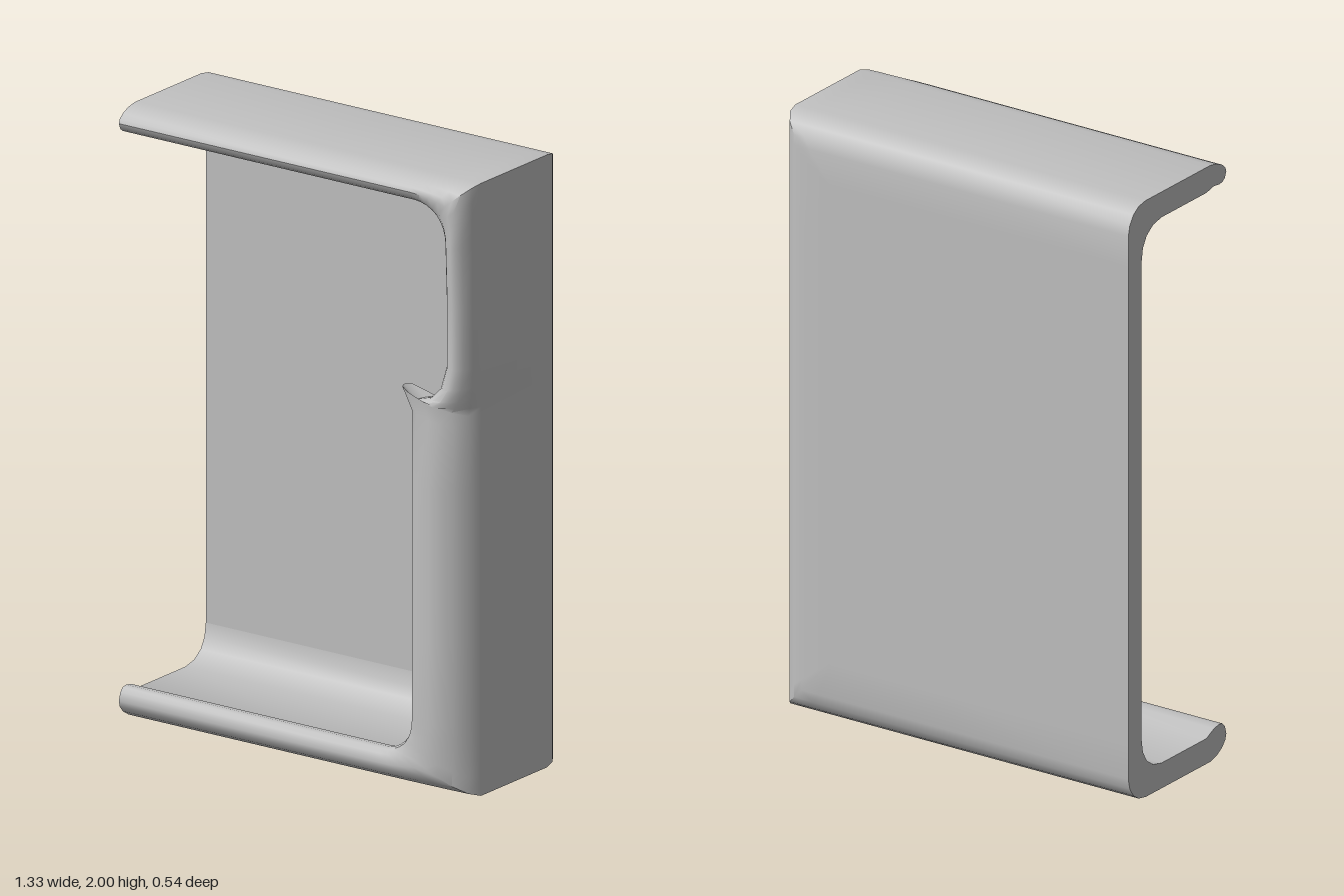
import * as THREE from 'three';
import { toCreasedNormals } from 'three/addons/utils/BufferGeometryUtils.js';

const R = 0.665, H = 2, LEFT = -0.665, BACK = -0.268, INNER = -0.197;

// Rim cross-section. w: fixed inset from the outer face, f: fraction of the way to the lip edge.
const section = [
  { w: 0.2, z: BACK }, { w: 0.09, z: BACK }, { w: 0.055, z: -0.26 }, { w: 0.026, z: -0.241 },
  { w: 0.007, z: -0.212 }, { w: 0, z: -0.175 }, { w: 0, z: 0.17 },
  { f: 0.08, z: 0.205 }, { f: 0.25, z: 0.235 }, { f: 0.43, z: 0.251 }, { f: 0.6, z: 0.256 },
  { f: 0.85, z: 0.248 }, { f: 0.97, z: 0.235 }, { f: 1, z: 0.218 }, { f: 0.95, z: 0.19 },
  { w: 0.085, z: 0.15 }, { w: 0.085, z: -0.09 }, { w: 0.095, z: -0.135 },
  { w: 0.12, z: -0.17 }, { w: 0.155, z: -0.19 }, { w: 0.2, z: INNER },
];

// Stations along the rim: outer point, inward direction, lip edge point, forward bulge.
function makeStations() {
  const list = [];
  const add = (out, dir, lip, bulge) => list.push({ out, dir, lip, bulge });

  // Bottom run and rounded lower corner
  add([LEFT, 0], [0, 1], [LEFT, 0.11], 0);
  add([0, 0], [0, 1], [0, 0.11], 0);
  corner(0.33, 0.23, 0.12, false);

  // Side: wide lip below, notch, narrow lip above
  const side = [
    [0.5, 0.45, 0.5, 0.013], [1.0, 0.45, 1.0, 0.013], [1.2, 0.45, 1.24, 0.012],
    [1.24, 0.41, 1.31, 0.01], [1.27, 0.46, 1.27, 0.008], [1.3, 0.515, 1.285, 0.004],
    [1.34, 0.555, 1.325, 0], [1.4, 0.575, 1.4, -0.005], [1.6, 0.575, 1.6, -0.006],
  ];
  for (const [y, lx, ly, b] of side) add([R, y], [-1, 0], [lx, ly], b);

  // Rounded upper corner and top run
  corner(0.455, 1.8, 0.12, true);
  add([0, H], [0, -1], [0, 1.92], 0);
  add([LEFT, H], [0, -1], [LEFT, 1.92], 0);

  function corner(cx, cy, r, upper) {
    const n = 8, edge = upper ? H : 0, sy = upper ? -1 : 1;
    for (let i = 0; i <= n; i++) {
      const k = upper ? n - i : i;
      const a = (k / n) * Math.PI / 2;
      const lip = [cx + r * Math.sin(a), cy - sy * r * Math.cos(a)];
      const s = Math.min(1, 2 * k / n), t = Math.min(1, 2 - 2 * k / n);
      const out = [cx + (R - cx) * s, edge + (cy - edge) * (1 - t)];
      add(out, [-s, sy * t], lip, (upper ? 0.002 : 0.013) * k / n);
    }
  }
  return list;
}

function place(st, p) {
  if (p.f === undefined) {
    return [st.out[0] + st.dir[0] * p.w, st.out[1] + st.dir[1] * p.w, p.z];
  }
  const mix = (i) => st.out[i] + (st.lip[i] - st.out[i]) * p.f;
  return [mix(0), mix(1), p.z + st.bulge * Math.min(1, p.f * 2)];
}

function rimGeometry(stations) {
  const pos = [], index = [], n = section.length;
  for (const st of stations) for (const p of section) pos.push(...place(st, p));
  for (let i = 0; i < stations.length - 1; i++) {
    for (let j = 0; j < n - 1; j++) {
      const a = i * n + j, b = a + n;
      index.push(a, b, a + 1, b, b + 1, a + 1);
    }
  }
  const geo = new THREE.BufferGeometry();
  geo.setAttribute('position', new THREE.Float32BufferAttribute(pos, 3));
  geo.setIndex(index);
  return toCreasedNormals(geo, 0.7);
}

// Flat face closing a cut end of the rim
function endGeometry(st) {
  const shape = new THREE.Shape(section.map((p) => {
    const [, y, z] = place(st, p);
    return new THREE.Vector2(z, y);
  }));
  return new THREE.ShapeGeometry(shape).rotateY(-Math.PI / 2).translate(LEFT, 0, 0);
}

export function createModel() {
  const group = new THREE.Group();
  group.name = 'openCase';
  const grey = new THREE.MeshStandardMaterial({ color: 0xc0c0c0, side: THREE.DoubleSide });
  grey.name = 'lightGrey';
  const add = (name, geo) => {
    const mesh = new THREE.Mesh(geo, grey);
    mesh.name = name;
    group.add(mesh);
    return mesh;
  };

  const stations = makeStations();
  add('wallsAndLip', rimGeometry(stations));
  add('bottomWallEnd', endGeometry(stations[0]));
  add('topWallEnd', endGeometry(stations[stations.length - 1]));

  // Back panel fills the area inside the rim's rear fillets
  const x1 = R - 0.2;
  const panel = add('backPanel', new THREE.BoxGeometry(x1 - LEFT, H - 0.4, INNER - BACK));
  panel.position.set((x1 + LEFT) / 2, H / 2, (INNER + BACK) / 2);
  return group;
}
